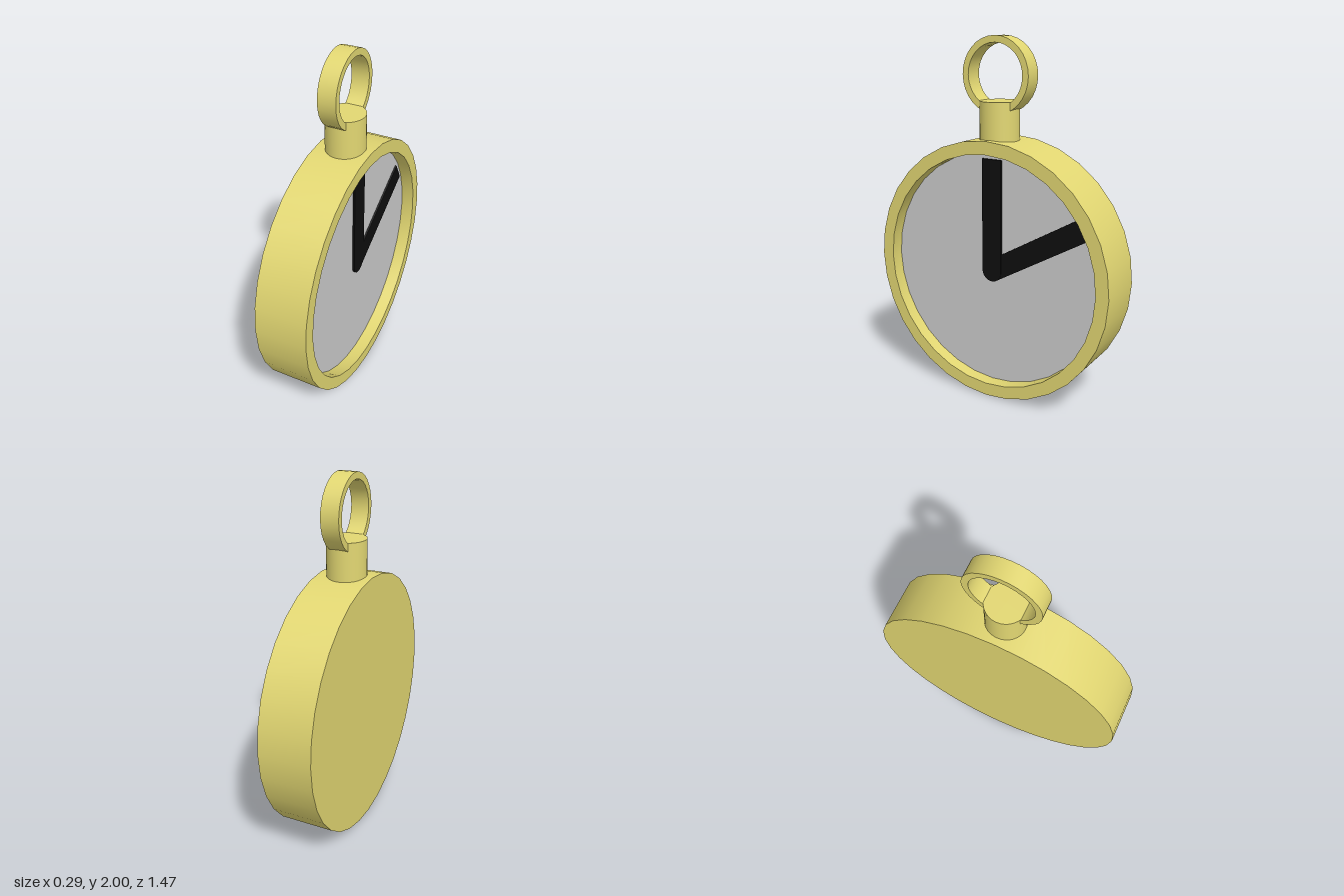
import * as THREE from 'three';
import { toCreasedNormals } from 'three/addons/utils/BufferGeometryUtils.js';

const SEGMENTS = 32;
const CASE_Y = 0.733;
const DIAL_X = 0.073;

const gold = new THREE.MeshStandardMaterial({ color: 0xe2d772 });
const grey = new THREE.MeshStandardMaterial({ color: 0xcccccc });
const black = new THREE.MeshStandardMaterial({ color: 0x0e0e0e });

function addMesh(group, name, geometry, material, x, y) {
  const mesh = new THREE.Mesh(geometry, material);
  mesh.name = name;
  mesh.position.set(x, y, 0);
  group.add(mesh);
  return mesh;
}

// Turned part whose axis lies along x; profile points are [radius, x]
function turned(profile) {
  const points = profile.map(([r, x]) => new THREE.Vector2(r, x));
  const geometry = new THREE.LatheGeometry(points, SEGMENTS).rotateZ(-Math.PI / 2);
  return toCreasedNormals(geometry, Math.PI / 5);
}

// Flat hand with a rounded hub end, turned clockwise from twelve o'clock
function handGeometry(length, halfWidth, depth, angle) {
  const shape = new THREE.Shape();
  shape.moveTo(halfWidth, 0);
  shape.lineTo(halfWidth, length);
  shape.lineTo(-halfWidth, length);
  shape.lineTo(-halfWidth, 0);
  shape.absarc(0, 0, halfWidth, Math.PI, Math.PI * 2, false);
  return new THREE.ExtrudeGeometry(shape, { depth, bevelEnabled: false, curveSegments: 12 })
    .rotateZ(-angle)
    .rotateY(Math.PI / 2);
}

export function createModel() {
  const watch = new THREE.Group();
  watch.name = 'pocketWatch';

  // Case with closed back, raised rim and recess for the dial
  const h = 0.147, outer = 0.733, inner = 0.66;
  addMesh(watch, 'case', turned([
    [0, -h], [outer, -h], [outer, h], [inner, h], [inner, DIAL_X],
  ]), gold, 0, CASE_Y);

  // Dial at the bottom of the recess
  addMesh(watch, 'dial',
    new THREE.CircleGeometry(inner, SEGMENTS).rotateY(Math.PI / 2), grey, DIAL_X, CASE_Y);

  // Hands at twelve and two o'clock
  addMesh(watch, 'minuteHand', handGeometry(0.627, 0.06, 0.012, 0), black, DIAL_X, CASE_Y);
  addMesh(watch, 'hourHand', handGeometry(0.627, 0.06, 0.01, Math.PI / 3), black, DIAL_X, CASE_Y);

  // Stem standing on the case
  addMesh(watch, 'stem', new THREE.CylinderGeometry(0.108, 0.108, 0.243, SEGMENTS), gold, 0, 1.5415);

  // Flat-banded hanging ring, sunk into the stem
  const w = 0.05, ro = 0.203, ri = 0.167;
  addMesh(watch, 'ring', turned([
    [ro, -w], [ro, w], [ri, w], [ri, -w], [ro, -w],
  ]), gold, 0, 1.797);

  return watch;
}
